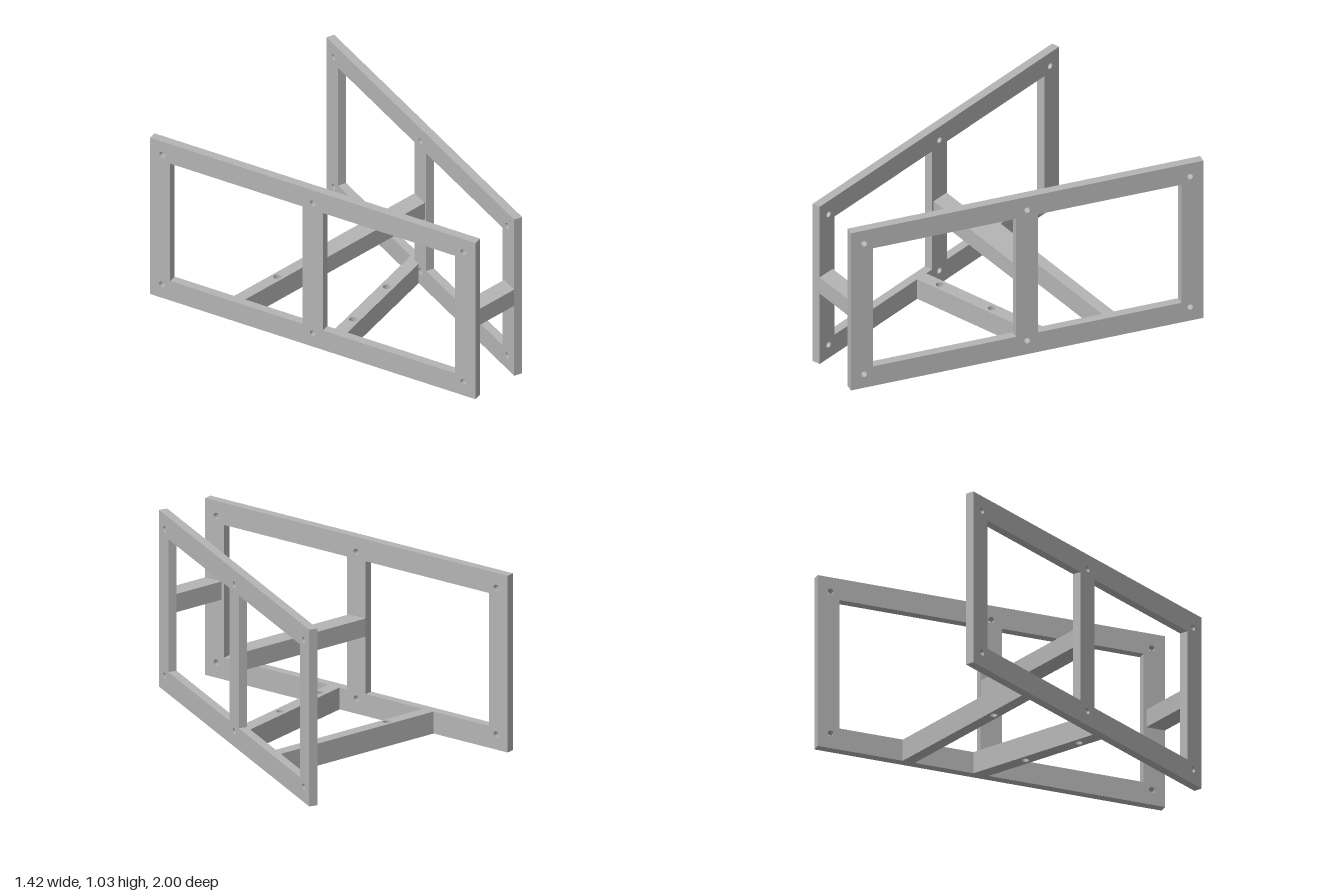
import * as THREE from 'three';

const ANGLE = Math.PI / 12;          // each side frame splays 15 degrees
const T = Math.tan(ANGLE);
const LENGTH = 2.056, HEIGHT = 1.03, RAIL = 0.128, THICK = 0.05;
const FRONT_X = 0.18, FRONT_Z = 1;   // outer front corner of a side frame
// inner face of the frames: |x| = INNER - T * z
const INNER = FRONT_X - THICK * Math.cos(ANGLE) + T * (FRONT_Z - THICK * Math.sin(ANGLE));

function circleHole(x, y, r) {
  return new THREE.Path().absarc(x, y, r, 0, Math.PI * 2, true);
}

function rectPath(x0, y0, x1, y1) {
  return new THREE.Path([[x0, y0], [x0, y1], [x1, y1], [x1, y0]].map(p => new THREE.Vector2(...p)));
}

// Rectangular frame with two windows and six bolt holes
function frameGeometry() {
  const shape = new THREE.Shape([[0, 0], [LENGTH, 0], [LENGTH, HEIGHT], [0, HEIGHT]].map(p => new THREE.Vector2(...p)));
  const mid = LENGTH / 2;
  shape.holes.push(rectPath(RAIL, RAIL, mid - RAIL / 2, HEIGHT - RAIL));
  shape.holes.push(rectPath(mid + RAIL / 2, RAIL, LENGTH - RAIL, HEIGHT - RAIL));
  for (const s of [0.077, mid, LENGTH - 0.077]) {
    for (const y of [0.088, HEIGHT - 0.087]) shape.holes.push(circleHole(s, y, 0.018));
  }
  return new THREE.ExtrudeGeometry(shape, { depth: THICK, bevelEnabled: false, curveSegments: 12 });
}

// Beam between the frames: its long edges follow z = k - m * x, its ends are mitred to the frames
function beamGeometry({ back, front, m = 0, y0, y1, holes = [] }) {
  const left = k => (T * k - INNER) / (1 + T * m);
  const right = k => (INNER - T * k) / (1 - T * m);
  const point = (x, k) => new THREE.Vector2(x, m * x - k);
  const shape = new THREE.Shape([
    point(left(front), front), point(right(front), front),
    point(right(back), back), point(left(back), back),
  ]);
  for (const x of holes) {
    const c = point(x, (back + front) / 2);
    shape.holes.push(circleHole(c.x, c.y, 0.021));
  }
  const geo = new THREE.ExtrudeGeometry(shape, { depth: y1 - y0, bevelEnabled: false, curveSegments: 12 });
  return geo.rotateX(-Math.PI / 2).translate(0, y0, 0);
}

export function createModel() {
  const group = new THREE.Group();
  const grey = new THREE.MeshStandardMaterial({ color: 0xb4b4b4 });
  grey.name = 'grey';

  // Side frames, close together at the front and wide at the back
  for (const side of [1, -1]) {
    const geo = frameGeometry();
    if (side > 0) geo.translate(0, 0, -THICK);
    const frame = new THREE.Mesh(geo, grey);
    frame.name = side > 0 ? 'leftSideFrame' : 'rightSideFrame';
    frame.rotation.y = Math.PI / 2 - side * ANGLE;
    frame.position.set(side * FRONT_X, 0, FRONT_Z);
    group.add(frame);
  }

  // Cross beams
  const beams = {
    frontBeam: { back: 0.88, front: 0.987, y0: 0.462, y1: 0.568 },
    middleBeam: { back: -0.065, front: 0.042, y0: 0.462, y1: 0.568 },
    lowerRearBeam: { back: -0.513, front: -0.445, y0: 0, y1: RAIL, holes: [-0.235] },
    lowerDiagonalBeam: { back: 0.005, front: 0.085, m: T, y0: 0, y1: RAIL, holes: [-0.235, 0.12] },
  };
  for (const [name, spec] of Object.entries(beams)) {
    const beam = new THREE.Mesh(beamGeometry(spec), grey);
    beam.name = name;
    group.add(beam);
  }
  return group;
}
